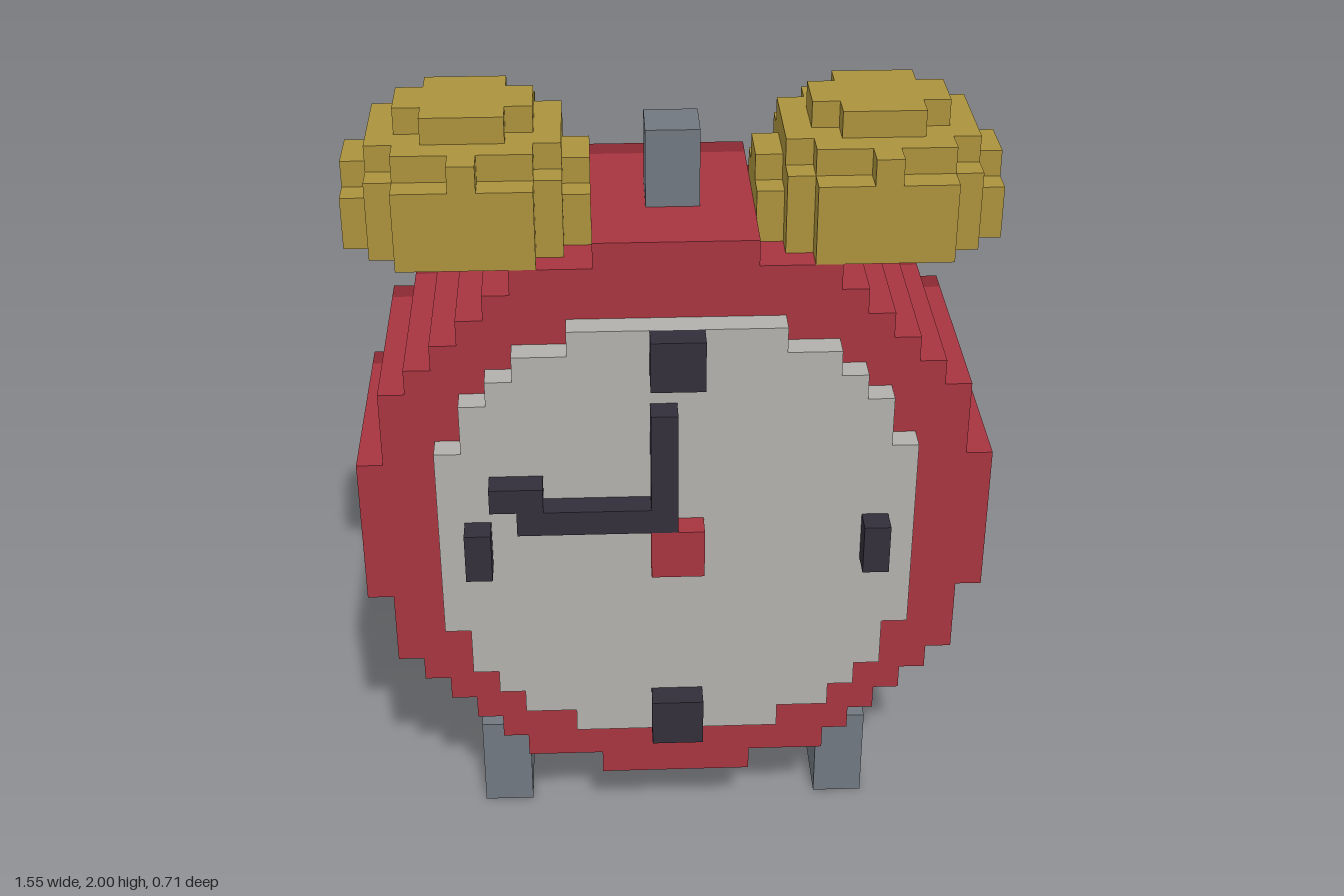
import * as THREE from 'three';

const U = 2 / 31; // one block
const mat = (color) => new THREE.MeshStandardMaterial({ color, flatShading: true });

export function createModel() {
  const clock = new THREE.Group();
  clock.name = 'alarmClock';
  const red = mat(0xa8353f), darkRed = mat(0x8a2832), gold = mat(0xab923c);
  const steel = mat(0x707880), ink = mat(0x322f3a), cream = mat(0xb2b0ac);

  const add = (parent, name, geometry, material) => {
    const mesh = new THREE.Mesh(geometry, material);
    mesh.name = name;
    parent.add(mesh);
    return mesh;
  };

  // Box given by its corner ranges in blocks
  const block = (name, material, [x0, x1], [y0, y1], [z0, z1]) => {
    const g = new THREE.BoxGeometry((x1 - x0) * U, (y1 - y0) * U, (z1 - z0) * U);
    add(clock, name, g, material).position.set((x0 + x1) / 2 * U, (y0 + y1) / 2 * U, (z0 + z1) / 2 * U);
  };

  // Stepped disc: half widths per row, from the middle row outwards, extruded in z
  const steppedDisc = (halves, depth) => {
    const corner = [];
    halves.forEach((w, k) => {
      if (w === halves[k + 1]) return;
      corner.push([w, k + 1]);
      if (k + 1 < halves.length) corner.push([halves[k + 1], k + 1]);
    });
    const back = [...corner].reverse();
    const points = [
      ...corner,
      ...back.map(([x, y]) => [-x, y]),
      ...corner.map(([x, y]) => [-x, -y]),
      ...back.map(([x, y]) => [x, -y]),
    ].map(([x, y]) => new THREE.Vector2(x * U, y * U));
    return new THREE.ExtrudeGeometry(new THREE.Shape(points), { depth: depth * U, bevelEnabled: false });
  };

  // Case, back plate and dial
  const caseRows = [12, 12, 12, 11, 11, 11, 10, 9, 8, 7, 6, 3];
  const dialRows = [9, 9, 9, 9, 8, 8, 7, 6, 4];
  add(clock, 'case', steppedDisc(caseRows, 8), red).position.set(0, 15 * U, -4.5 * U);
  add(clock, 'backPlate', steppedDisc(caseRows, 1), darkRed).position.set(0, 15 * U, -5.5 * U);
  add(clock, 'dial', steppedDisc(dialRows, 1), cream).position.set(0, 15 * U, 3.5 * U);

  // Hour marks, hands and hub
  const raised = [4.5, 5.5];
  block('topMark', ink, [-1, 1], [22, 24], raised);
  block('bottomMark', ink, [-1, 1], [6, 8], raised);
  block('leftMark', ink, [7, 8], [14, 16], raised);
  block('rightMark', ink, [-8, -7], [14, 16], raised);
  block('minuteHand', ink, [-1, 0], [17, 21], raised);
  block('hourHand', ink, [-6, 0], [16, 17], raised);
  block('hourHandTip', ink, [-7, -5], [17, 18], raised);
  block('hub', red, [-1, 1], [14, 16], raised);

  // Hammer between the bells
  block('hammer', steel, [-1, 1], [27, 30], [-1.5, 0.5]);

  // Legs, bell posts and domed bells on both sides
  for (const [side, s] of [['left', 1], ['right', -1]]) {
    const span = (a, b) => (s > 0 ? [a, b] : [-b, -a]);
    block(side + 'Leg', steel, span(6, 8), [0, 4], [-1.5, 1.5]);
    block(side + 'BellPost', steel, span(6, 7), [25, 26], [-1.5, 0.5]);

    const bell = new THREE.Group();
    bell.name = side + 'Bell';
    bell.position.set(s * 7.5 * U, 26 * U, -0.5 * U);
    clock.add(bell);
    for (let layer = 0; layer < 5; layer++) {
      // Rows of a sphere slice, rounded to whole blocks
      const rows = [];
      for (let j = 0.5; j < 4; j++) {
        const left = 21.25 - layer * layer - j * j;
        if (left >= 0) rows.push(Math.min(4, Math.floor(Math.sqrt(left) - (layer ? 0 : 0.001))) + 0.5);
      }
      const g = steppedDisc(rows, 1).rotateX(-Math.PI / 2);
      add(bell, 'bellLayer' + (layer + 1), g, gold).position.y = layer * U;
    }
  }
  return clock;
}
